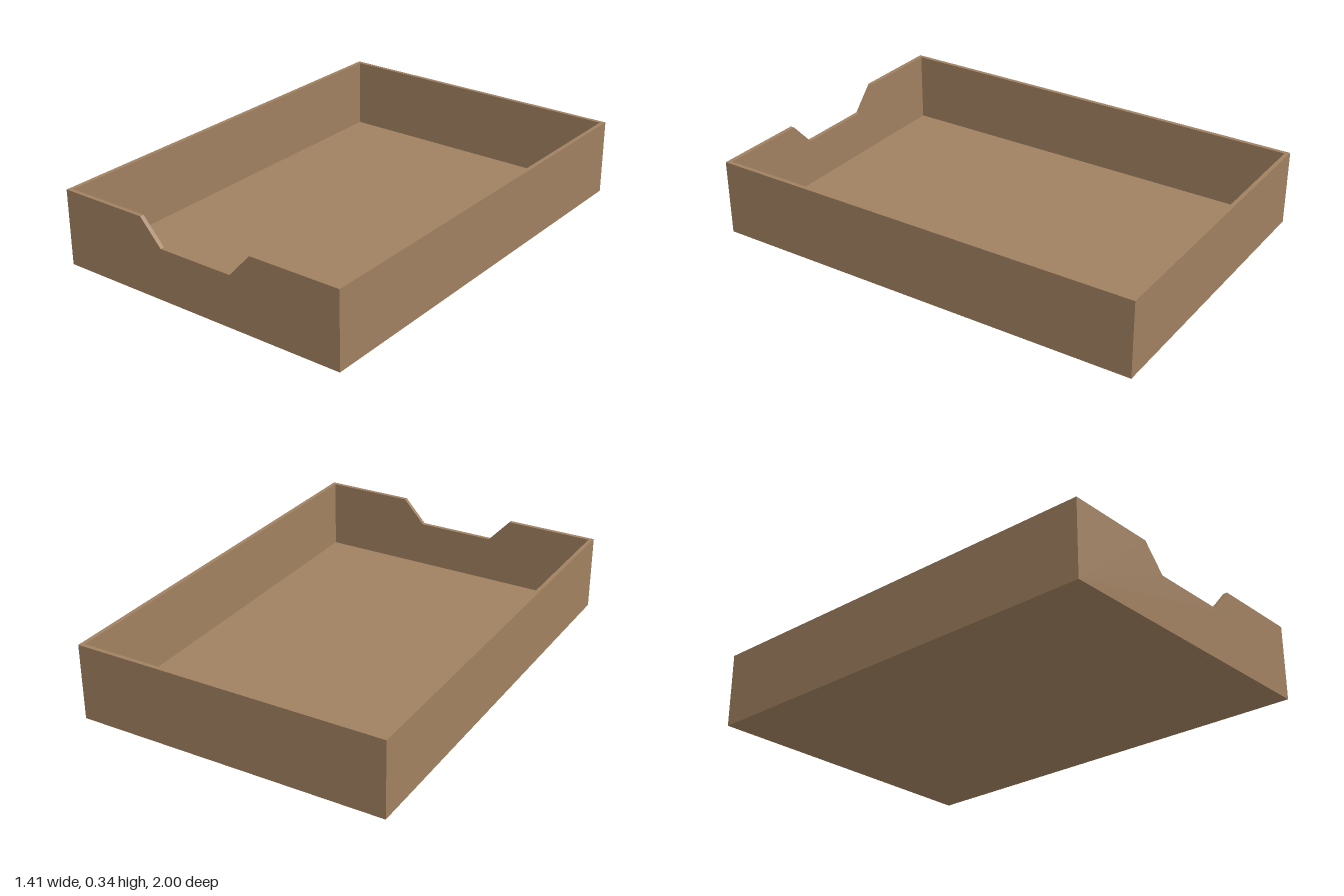
import * as THREE from 'three';

const W = 1.41, D = 2, H = 0.344, T = 0.019, FLOOR = 0.02;

export function createModel() {
  const tray = new THREE.Group();
  tray.name = 'openTray';
  const cardboard = new THREE.MeshStandardMaterial({ color: 0xa08060 });
  cardboard.name = 'cardboard brown';

  const add = (name, geometry, x, y, z) => {
    const mesh = new THREE.Mesh(geometry, cardboard);
    mesh.name = name;
    mesh.position.set(x, y, z);
    tray.add(mesh);
  };

  // Floor and the three plain walls
  add('floor', new THREE.BoxGeometry(W - 2 * T, FLOOR, D - 2 * T), 0, FLOOR / 2, 0);
  add('backWall', new THREE.BoxGeometry(W, H, T), 0, H / 2, -(D - T) / 2);
  for (const [name, s] of [['leftWall', 1], ['rightWall', -1]]) {
    add(name, new THREE.BoxGeometry(T, H, D - 2 * T), s * (W - T) / 2, H / 2, 0);
  }

  // Front wall with a sloped finger notch in its top edge
  const outline = [
    [-W / 2, 0], [W / 2, 0], [W / 2, H], [0.283, H],
    [0.18, 0.232], [-0.18, 0.232], [-0.283, H], [-W / 2, H],
  ].map(([x, y]) => new THREE.Vector2(x, y));
  const front = new THREE.ExtrudeGeometry(new THREE.Shape(outline), { depth: T, bevelEnabled: false });
  add('notchedFrontWall', front, 0, 0, D / 2 - T);

  return tray;
}
